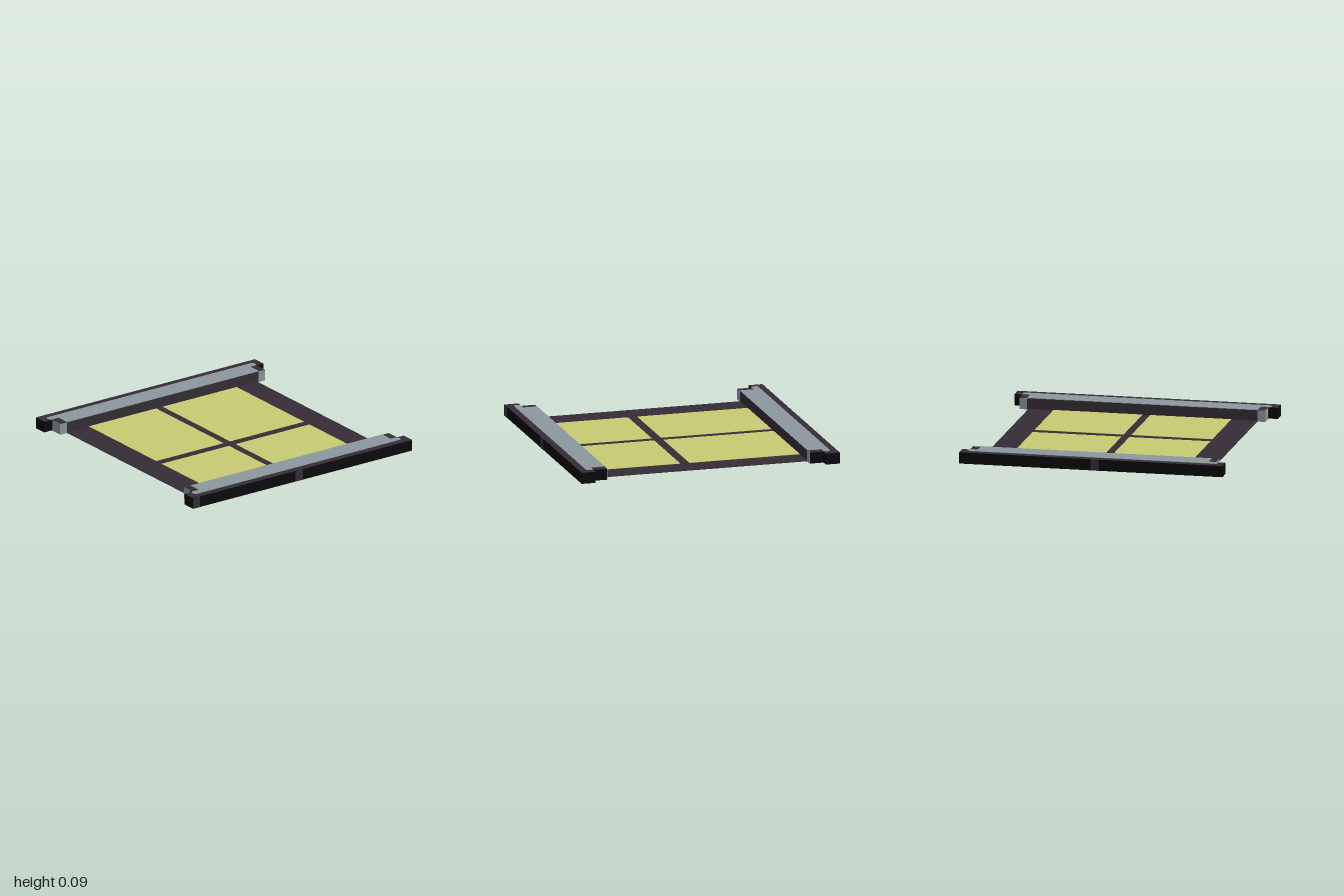
import * as THREE from 'three';

const mat = (name, color) => {
  const m = new THREE.MeshStandardMaterial({ color });
  m.name = name;
  return m;
};

export function createModel() {
  const group = new THREE.Group();
  group.name = 'slidingPanelFrame';

  const black = mat('black', 0x0b0a0c);
  const dark = mat('darkPlum', 0x352d36);
  const grey = mat('blueGrey', 0x8b989d);
  const yellow = mat('paleYellow', 0xc7ca70);

  // Box given by its min and max corners
  const box = (name, parent, material, x0, x1, y0, y1, z0, z1) => {
    const g = new THREE.BoxGeometry(Math.abs(x1 - x0), y1 - y0, z1 - z0);
    const m = new THREE.Mesh(g, material);
    m.position.set((x0 + x1) / 2, (y0 + y1) / 2, (z0 + z1) / 2);
    m.name = name;
    parent.add(m);
    return m;
  };

  const H = 0.087; // rail height

  // Thin sheet between the rails
  box('sheet', group, dark, -0.79, 0.79, 0.002, 0.006, -0.87, 0.87);

  // Four panes, visible from above and below
  for (const [x0, x1] of [[-0.785, 0.07], [0.14, 0.785]])
    for (const [z0, z1] of [[-0.68, -0.005], [0.055, 0.67]])
      box('pane', group, yellow, x0, x1, 0, 0.008, z0, z1);

  // Side rails
  for (const s of [1, -1]) {
    const rail = new THREE.Group();
    rail.name = s > 0 ? 'leftRail' : 'rightRail';
    group.add(rail);

    // Face order: +x, -x, top, bottom, front, back
    const innerSides = s > 0 ? [black, dark] : [dark, black];
    box('outerRail', rail, [black, black, dark, black, black, black],
      s * 0.89, s * 0.998, 0.002, H, -1, 1);
    box('innerRail', rail, [...innerSides, dark, black, dark, black],
      s * 0.785, s * 0.89, 0.002, H, -0.94, 0.928);

    // Grey cover on top, with stepped ends
    const pts = [[0.784, -0.88], [0.892, -0.88], [0.892, -0.93], [0.902, -0.942], [0.933, -0.942],
      [0.945, -0.93], [0.945, 0.935], [0.935, 0.947], [0.902, 0.947], [0.892, 0.935],
      [0.892, 0.87], [0.784, 0.87]];
    const shape = new THREE.Shape(pts.map(([x, z]) => new THREE.Vector2(s * x, -z)));
    const cover = new THREE.Mesh(
      new THREE.ExtrudeGeometry(shape, { depth: 0.004, bevelEnabled: false }), grey);
    cover.rotation.x = -Math.PI / 2;
    cover.position.y = H - 0.001;
    cover.name = 'railCover';
    rail.add(cover);

    // Grey end plates: front, inner sides and underside of the front end
    box('frontEndPlate', rail, grey, s * 0.785, s * (s > 0 ? 0.86 : 0.88), 0.002, H - 0.001, 0.927, 0.931);
    for (const [z0, z1] of [[-0.938, -0.88], [0.87, 0.93]])
      box('innerEndPlate', rail, grey, s * 0.782, s * 0.786, 0.002, H - 0.001, z0, z1);
    box('undersidePlate', rail, grey, s * 0.785, s * 0.88, 0, 0.003, 0.87, 0.928);

    // Joint at mid length: grey below, plum on the outer face
    box('jointUnderside', rail, grey, s * 0.785, s * 0.88, 0, 0.003, 0, 0.065);
    box('jointOuterFace', rail, dark, s * 0.996, s * 1, 0.002, H - 0.001, 0, 0.065);
    if (s > 0) box('cornerPlate', rail, dark, 0.996, 1, 0.002, H - 0.001, 0.94, 0.999);
  }

  return group;
}
